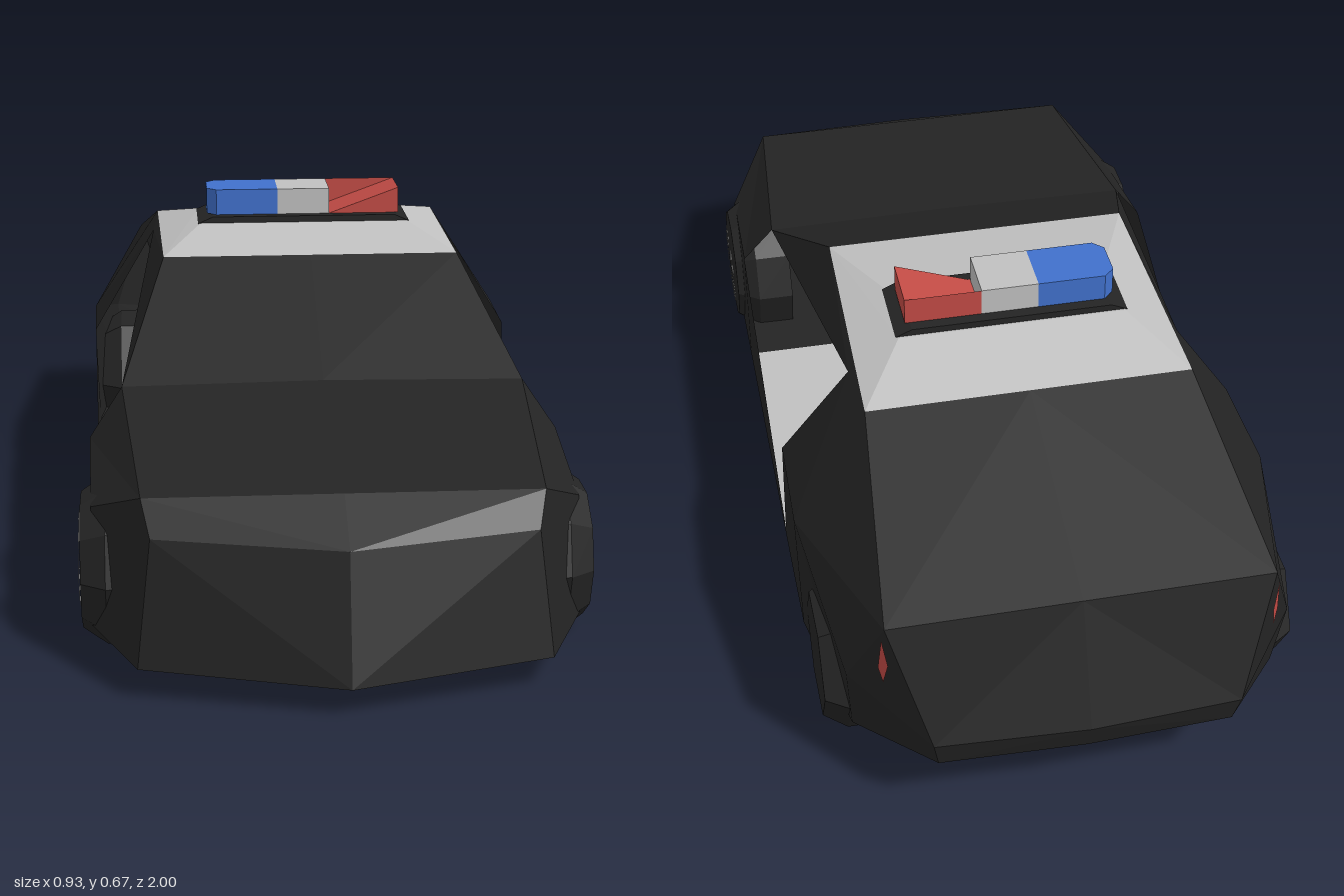
import * as THREE from 'three';

const paint = (name, color) =>
  new THREE.MeshStandardMaterial({ name, color, side: THREE.DoubleSide, flatShading: true });

// Corner points of the left half of the body; the right half is mirrored
const P = {
  noseMid: [0, 0.06, 1], nose: [0.36, 0.065, 0.9], noseSide: [0.45, 0.07, 0.69],
  bumperMid: [0, 0.285, 0.94], bumper: [0.335, 0.29, 0.87],
  hoodMid: [0, 0.35, 0.83], hood: [0.35, 0.35, 0.83], fender: [0.44, 0.28, 0.67],
  cowlMid: [0, 0.415, 0.36], cowl: [0.385, 0.41, 0.36], belt: [0.447, 0.32, 0.39],
  sill: [0.45, 0.07, 0.37], sillMid: [0, 0.07, 0.37],
  roofF: [0.3, 0.585, 0.03], roofFMid: [0, 0.585, 0.03],
  roofR: [0.31, 0.575, -0.48], roofRMid: [0, 0.575, -0.48],
  pillar: [0.32, 0.56, -0.34], doorLow: [0.45, 0.09, -0.24], doorMid: [0.45, 0.35, -0.29],
  sillR: [0.45, 0.07, -0.305], sillRMid: [0, 0.07, -0.305],
  haunch: [0.455, 0.35, -0.5], haunchLow: [0.45, 0.08, -0.5],
  deck: [0.35, 0.45, -0.91], deckMid: [0, 0.45, -0.91],
  quarter: [0.41, 0.27, -0.83], quarterLow: [0.4, 0.11, -0.8],
  tail: [0.28, 0.22, -0.985], tailMid: [0, 0.22, -1],
  tailLow: [0.27, 0.16, -0.97], tailLowMid: [0, 0.16, -0.98],
  roofTop: [0.22, 0.612, -0.165], roofTopMid: [0, 0.612, -0.165],
  roofTopR: [0.22, 0.612, -0.325], roofTopRMid: [0, 0.612, -0.325],
};

// Build faces from lists of corners, turning each one away from a centre point
function faces(name, material, polygons, centre = [0, 0.3, 0], mirror = true) {
  const pos = [], c0 = new THREE.Vector3(...centre);
  for (const side of mirror ? [1, -1] : [1]) {
    for (const poly of polygons) {
      const v = poly.map((p) => new THREE.Vector3(p[0] * side, p[1], p[2]));
      for (let i = 1; i < v.length - 1; i++) {
        const [a, b, c] = [v[0], v[i], v[i + 1]];
        const n = b.clone().sub(a).cross(c.clone().sub(a));
        const mid = a.clone().add(b).add(c).divideScalar(3).sub(c0);
        for (const q of n.dot(mid) > 0 ? [a, b, c] : [a, c, b]) pos.push(q.x, q.y, q.z);
      }
    }
  }
  const g = new THREE.BufferGeometry();
  g.setAttribute('position', new THREE.Float32BufferAttribute(pos, 3));
  g.computeVertexNormals();
  const mesh = new THREE.Mesh(g, material);
  mesh.name = name;
  return mesh;
}

const named = (rows) => rows.map((r) => r.split(' ').map((k) => P[k]));

export function createModel() {
  const black = paint('body black', 0x242424);
  const white = paint('panel white', 0xc0c0c0);
  const blue = paint('lamp blue', 0x4070cc);
  const red = paint('lamp red', 0xc24b45);
  const metal = paint('wheel metal', 0x808080);

  const car = new THREE.Group();
  car.name = 'car';
  const body = (name, mat, rows) => car.add(faces(name, mat, named(rows)));

  // Body shell, with the door openings left empty
  body('frontBumper', black, ['noseMid nose bumper bumperMid', 'bumperMid bumper hood hoodMid']);
  body('hood', black, ['hoodMid hood cowl cowlMid']);
  body('frontFender', black, ['hood cowl belt fender', 'hood fender bumper',
    'bumper fender noseSide nose', 'fender belt sill noseSide']);
  body('windscreen', black, ['cowlMid cowl roofF roofFMid']);
  body('sidePillar', black, ['cowl roofF pillar', 'roofF roofR pillar']);
  body('sidePanel', black, ['belt sill doorLow', 'doorLow sill sillR']);
  body('rearFender', black, ['pillar roofR haunch doorMid', 'roofR deck haunch',
    'deck quarter haunch', 'doorMid haunch haunchLow sillR doorLow',
    'haunch quarter quarterLow haunchLow', 'deck tail quarter', 'quarter tail tailLow quarterLow']);
  body('rearDeck', black, ['roofRMid roofR deck deckMid']);
  body('rearEnd', black, ['deckMid deck tail tailMid', 'tailMid tail tailLow tailLowMid']);
  body('underside', black, ['noseMid nose noseSide sill sillMid',
    'sillRMid sillR haunchLow quarterLow tailLow tailLowMid']);
  body('floor', white, ['sillMid sill sillR sillRMid']);
  body('roof', white, ['roofFMid roofF roofTop roofTopMid', 'roofF roofR roofTopR roofTop',
    'roofR roofRMid roofTopRMid roofTopR', 'roofTopMid roofTop roofTopR roofTopRMid']);

  // Slim tail lamps laid over the rear corners
  const blend = (a, b, c) => [0, 1, 2].map((i) =>
    P.deck[i] * a + P.quarter[i] * b + P.tail[i] * c + [0.004, 0, -0.004][i]);
  car.add(faces('tailLamp', red,
    [[blend(0.88, 0.08, 0.04), blend(0.62, 0.15, 0.23), blend(0.36, 0.35, 0.29), blend(0.5, 0.33, 0.17)]]));

  // Light bar on a black tapered base
  const base = new THREE.BoxGeometry(0.45, 0.014, 0.155);
  const bp = base.attributes.position;
  for (let i = 0; i < bp.count; i++) if (bp.getY(i) > 0) bp.setX(i, bp.getX(i) * 0.86);
  base.computeVertexNormals();
  const baseMesh = new THREE.Mesh(base, black);
  baseMesh.name = 'lightBarBase';
  baseMesh.position.set(0, 0.618, -0.243);
  car.add(baseMesh);

  const mid = new THREE.Mesh(new THREE.BoxGeometry(0.11, 0.054, 0.11), white);
  mid.name = 'lightBarCentre';
  mid.position.set(0, 0.652, -0.243);
  car.add(mid);

  const plan = new THREE.Shape([[-0.055, -0.055], [-0.055, 0.055], [-0.185, 0.055],
    [-0.205, 0.035], [-0.205, -0.035], [-0.185, -0.055]].map((p) => new THREE.Vector2(...p)));
  const lamp = new THREE.Mesh(
    new THREE.ExtrudeGeometry(plan, { depth: 0.054, bevelEnabled: false }).rotateX(-Math.PI / 2), blue);
  lamp.name = 'blueLamp';
  lamp.position.set(0, 0.625, -0.243);
  car.add(lamp);

  // Red lamp: a wedge in front of a full-height back
  const [x0, x1, y0, y1, zf, zb] = [0.055, 0.203, 0.625, 0.679, -0.188, -0.298];
  car.add(faces('redLamp', red, [
    [[x0, y0, zf], [x1, y0, zf], [x1, y1, zf]],
    [[x1, y0, zf], [x1, y0, zb], [x1, y1, zb], [x1, y1, zf]],
    [[x0, y0, zf], [x1, y1, zf], [x1, y1, zb], [x0, y0, zb]],
    [[x0, y0, zb], [x1, y0, zb], [x1, y1, zb], [x0, y1, zb]],
  ], [0.16, 0.635, -0.243], false));

  // Wheels: chamfered tyres, with spoked hubs on the front pair
  function tyre(r, sides, spin) {
    const prof = [[0, -0.06], [r, -0.06], [r, 0.015], [r * 0.8, 0.06], [0, 0.06]]
      .map((p) => new THREE.Vector2(...p));
    return new THREE.LatheGeometry(prof, sides, spin).rotateZ(-Math.PI / 2);
  }
  for (const s of [1, -1]) {
    const front = new THREE.Group();
    front.name = 'frontWheel';
    const rubber = new THREE.Mesh(tyre(0.155, 10, 0), black);
    rubber.name = 'frontTyre';
    front.add(rubber);
    const spokes = [];
    for (let i = 0; i < 10; i++) {
      const at = (t, r, x) => [x, Math.cos(t) * r, Math.sin(t) * r];
      const t = (i / 10) * Math.PI * 2;
      spokes.push([at(t, 0.015, 0.066), at(t - 0.25, 0.09, 0.064), at(t + 0.25, 0.09, 0.064)]);
    }
    front.add(faces('hubSpokes', metal, spokes, [0, 0, 0], false));
    front.position.set(0.4 * s, 0.157, 0.608);
    if (s < 0) front.rotation.y = Math.PI;
    car.add(front);

    const rear = new THREE.Mesh(tyre(0.15, 6, Math.PI / 6), black);
    rear.name = 'rearWheel';
    rear.position.set(0.385 * s, 0.152, -0.655);
    rear.rotation.x = Math.PI / 6;
    if (s < 0) rear.rotation.y = Math.PI;
    const lowest = new THREE.Box3().setFromObject(rear, true).min.y;
    rear.position.y += 0.02 - lowest;
    car.add(rear);
  }
  return car;
}
